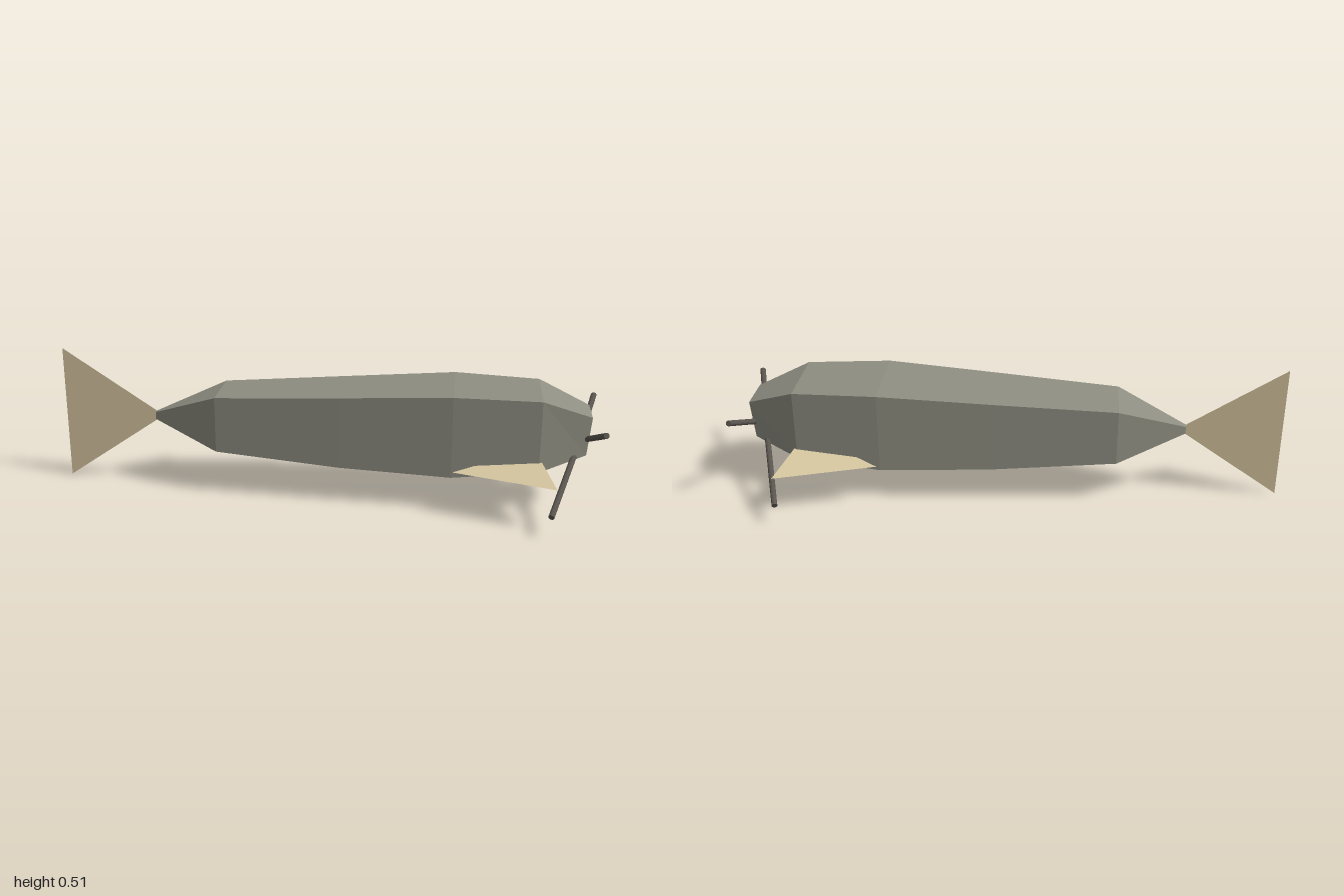
import * as THREE from 'three';

const material = (color, side = THREE.FrontSide) =>
  new THREE.MeshStandardMaterial({ color, side, flatShading: true });
const hullMat = material(0x8e8e82);
const finMat = material(0xd6c6a0, THREE.DoubleSide);
const poleMat = material(0x59544e);

function facets(name, points, index, mat) {
  const geo = new THREE.BufferGeometry();
  geo.setAttribute('position', new THREE.Float32BufferAttribute(points.flat(), 3));
  geo.setIndex(index);
  const flat = geo.toNonIndexed();
  flat.computeVertexNormals();
  const mesh = new THREE.Mesh(flat, mat);
  mesh.name = name;
  return mesh;
}

// Rectangular hull lofted along x: [x, bottom y, top y, half width, slant of lower edge]
function hull() {
  const sections = [
    [-0.65, 0.245, 0.272, 0.01, 0],
    [-0.4, 0.162, 0.37, 0.108, 0],
    [0.06, 0.132, 0.398, 0.135, 0],
    [0.465, 0.122, 0.423, 0.155, 0],
    [0.775, 0.15, 0.414, 0.137, 0],
    [0.955, 0.2, 0.342, 0.073, -0.013],
  ];
  const points = [];
  const index = [];
  for (const [x, lo, hi, w, slant] of sections)
    points.push([x + slant, lo, w], [x + slant, lo, -w], [x, hi, -w], [x, hi, w]);
  for (let s = 0; s < sections.length - 1; s++) {
    for (let i = 0; i < 4; i++) {
      const a = s * 4 + i, b = s * 4 + ((i + 1) % 4);
      index.push(a, b, b + 4, a, b + 4, a + 4);
    }
  }
  const n = (sections.length - 1) * 4;
  index.push(0, 2, 1, 0, 3, 2, n, n + 1, n + 2, n, n + 2, n + 3); // end caps
  return facets('hull', points, index, hullMat);
}

// Round pole between two points
function pole(name, from, to) {
  const a = new THREE.Vector3(...from), b = new THREE.Vector3(...to);
  const dir = b.clone().sub(a);
  const mesh = new THREE.Mesh(
    new THREE.CylinderGeometry(0.0105, 0.0105, dir.length(), 12), poleMat);
  mesh.position.copy(a).add(b).multiplyScalar(0.5);
  mesh.quaternion.setFromUnitVectors(new THREE.Vector3(0, 1, 0), dir.normalize());
  mesh.name = name;
  return mesh;
}

export function createModel() {
  const group = new THREE.Group();
  group.name = 'finnedCraft';
  group.add(hull());

  // Upright tail fin
  group.add(facets('tailFin',
    [[-0.64, 0.27, 0], [-1, 0.507, 0], [-1, 0, 0], [-0.64, 0.245, 0]],
    [0, 1, 2, 0, 2, 3], finMat));

  // Side fins and nose poles, mirrored across z
  for (const s of [1, -1]) {
    const side = s > 0 ? 'Front' : 'Back';
    group.add(facets('sideFin' + side,
      [[0.47, 0.157, 0.19 * s], [0.83, 0.154, 0.3 * s], [0.76, 0.206, 0.045 * s]],
      [0, 1, 2], finMat));
    group.add(pole('upperPole' + side, [0.937, 0.254, 0.055 * s], [0.987, 0.333, 0.227 * s]));
    group.add(pole('lowerPole' + side, [0.905, 0.207, 0.06 * s], [0.811, 0.076, 0.354 * s]));
  }
  return group;
}
